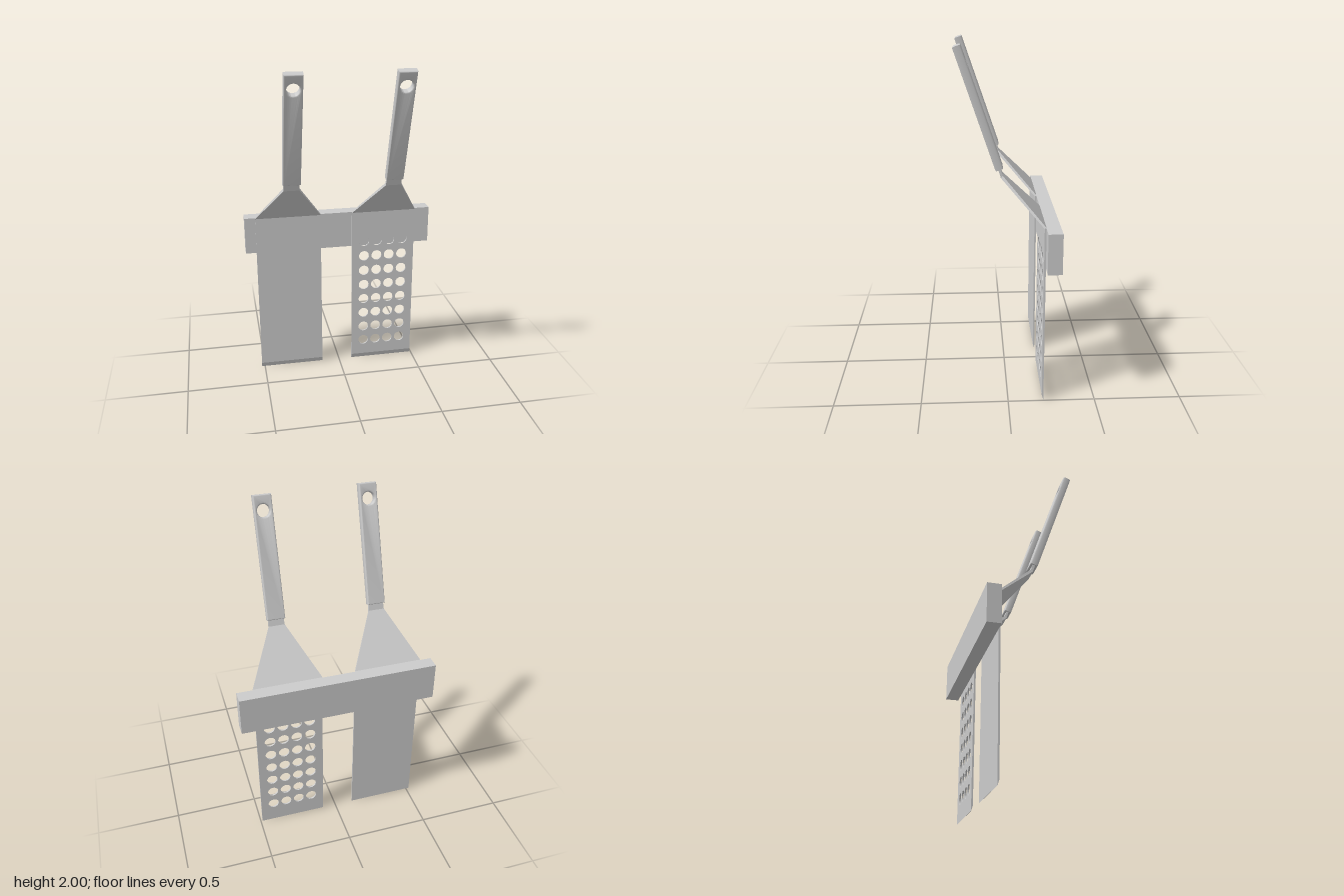
import * as THREE from 'three';
import { toCreasedNormals } from 'three/addons/utils/BufferGeometryUtils.js';

const metal = new THREE.MeshStandardMaterial({ color: 0xcccccc });
const BLADE_W = 0.405, BLADE_T = 0.01, BLADE_Z = -0.205, BLADE_TOP = 1.05, TIP = 0.03;

function addMesh(parent, name, geometry) {
  const mesh = new THREE.Mesh(geometry, metal);
  mesh.name = name;
  parent.add(mesh);
  return mesh;
}

// Solid strip through rectangular stations, bottom to top: [halfWidth, frontY, frontZ, backY, backZ]
function strip(stations) {
  const pos = [], index = [];
  for (const [w, fy, fz, by, bz] of stations) {
    pos.push(-w, fy, fz, w, fy, fz, w, by, bz, -w, by, bz);
  }
  for (let s = 0; s < stations.length - 1; s++) {
    for (let k = 0; k < 4; k++) {
      const a = s * 4 + k, b = s * 4 + (k + 1) % 4;
      index.push(a, b, b + 4, a, b + 4, a + 4);
    }
  }
  const e = (stations.length - 1) * 4;
  index.push(0, 2, 1, 0, 3, 2, e, e + 1, e + 2, e, e + 2, e + 3);
  const g = new THREE.BufferGeometry();
  g.setAttribute('position', new THREE.Float32BufferAttribute(pos, 3));
  g.setIndex(index);
  return toCreasedNormals(g, 0.3);
}

function rectShape(w, y0, y1) {
  return new THREE.Shape([[-w, y0], [w, y0], [w, y1], [-w, y1]].map(p => new THREE.Vector2(...p)));
}

function addHole(shape, x, y, r) {
  shape.holes.push(new THREE.Path().absarc(x, y, r, 0, Math.PI * 2, true));
}

function spatula(name, x, perforated) {
  const g = new THREE.Group();
  g.name = name;
  g.position.x = x;
  const hw = BLADE_W / 2, front = BLADE_Z + BLADE_T;

  // Flat blade, optionally with a grid of round holes
  const shape = rectShape(hw, TIP, BLADE_TOP);
  if (perforated) {
    for (let row = 0; row < 8; row++) {
      for (let col = 0; col < 4; col++) {
        addHole(shape, (col - 1.5) * 0.082, 0.135 + row * 0.1022, 0.033);
      }
    }
  }
  const blade = new THREE.ExtrudeGeometry(shape, { depth: BLADE_T, bevelEnabled: false, curveSegments: 24 });
  addMesh(g, 'blade', toCreasedNormals(blade, 0.6)).position.z = BLADE_Z;

  // Edge ground on the front side only
  addMesh(g, 'bladeEdge', strip([
    [hw, 0, BLADE_Z + 0.001, 0, BLADE_Z],
    [hw, TIP, front, TIP, BLADE_Z],
  ]));

  // Tapering shoulder that bends forward, ending in a short tang
  addMesh(g, 'shoulder', strip([
    [hw, 1.047, front, BLADE_TOP + 0.003, BLADE_Z],
    [0.047, 1.29, 0.033, 1.302, 0.022],
    [0.043, 1.36, 0.055, 1.364, 0.041],
  ]));

  // Grip with softened edges and a hanging hole
  const length = 0.695, thick = 0.045, bevel = 0.008;
  const grip = rectShape(0.0525, 0, length);
  addHole(grip, 0, length - 0.087, 0.036);
  const gripGeo = new THREE.ExtrudeGeometry(grip, {
    depth: thick - 2 * bevel, bevelThickness: bevel, bevelSize: bevel,
    bevelOffset: -bevel, bevelSegments: 3, curveSegments: 24,
  });
  gripGeo.translate(0, 0, bevel - thick / 2);
  const handle = addMesh(g, 'handle', toCreasedNormals(gripGeo, 0.7));
  handle.position.set(0, 1.335, 0.04);
  handle.rotation.x = Math.atan2(0.222, 0.657);
  return g;
}

export function createModel() {
  const model = new THREE.Group();
  model.name = 'spatulaRack';

  // Wall bar behind the blades
  addMesh(model, 'bar', new THREE.BoxGeometry(1.17, 0.23, 0.08)).position.set(0, 0.935, -0.245);

  model.add(spatula('solidSpatula', -0.317, false));
  model.add(spatula('perforatedSpatula', 0.287, true));
  return model;
}
